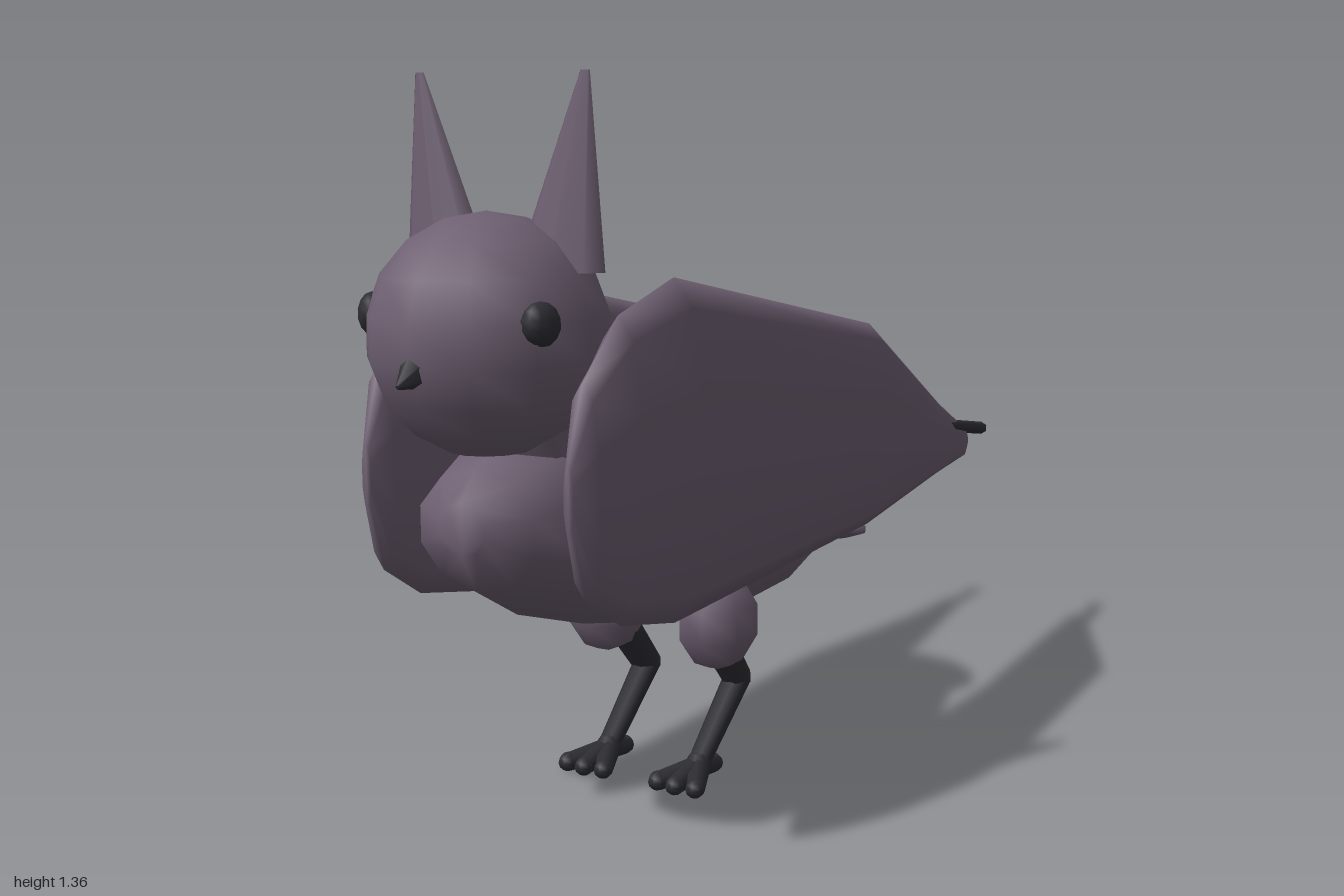
import * as THREE from 'three';

const plumage = new THREE.MeshStandardMaterial({ color: 0x6e6072 });
plumage.name = 'dusky mauve';
const dark = new THREE.MeshStandardMaterial({ color: 0x2e2d33 });
dark.name = 'charcoal';

function mesh(parent, name, geometry, material) {
  const m = new THREE.Mesh(geometry, material);
  m.name = name;
  parent.add(m);
  return m;
}

// Skin over cross-sections running from front (+z) to back: [z, bottom, top, xMin, xMax]
function loft(sections, sides, power = 1) {
  const pos = [], idx = [];
  const bend = v => Math.sign(v) * Math.abs(v) ** power;
  for (const [z, y0, y1, x0, x1] of sections) {
    for (let i = 0; i < sides; i++) {
      const a = (i / sides) * Math.PI * 2;
      pos.push((x0 + x1) / 2 + bend(Math.sin(a)) * (x1 - x0) / 2,
        (y0 + y1) / 2 - bend(Math.cos(a)) * (y1 - y0) / 2, z);
    }
  }
  const last = sections.length - 1;
  for (let s = 0; s < last; s++) {
    for (let i = 0; i < sides; i++) {
      const a = s * sides + i, b = s * sides + (i + 1) % sides;
      idx.push(a, b, a + sides, b, b + sides, a + sides);
    }
  }
  // End caps
  for (let i = 1; i < sides - 1; i++) {
    idx.push(0, i + 1, i);
    idx.push(last * sides, last * sides + i, last * sides + i + 1);
  }
  // Orient every face outwards
  for (let t = 0; t < idx.length; t += 3) [idx[t + 1], idx[t + 2]] = [idx[t + 2], idx[t + 1]];
  const g = new THREE.BufferGeometry();
  g.setAttribute('position', new THREE.Float32BufferAttribute(pos, 3));
  g.setIndex(signedVolume(pos, idx) < 0 ? idx.reverse() : idx);
  g.computeVertexNormals();
  return g;
}

function signedVolume(pos, idx) {
  const p = i => new THREE.Vector3().fromArray(pos, i * 3);
  let v = 0;
  for (let t = 0; t < idx.length; t += 3) v += p(idx[t]).dot(p(idx[t + 1]).cross(p(idx[t + 2])));
  return v;
}

function ellipsoid(parent, name, material, at, radii, w = 10, h = 7) {
  const m = mesh(parent, name, new THREE.SphereGeometry(1, w, h), material);
  m.position.set(...at);
  m.scale.set(...radii);
  return m;
}

// Tapered rod between two points
function rod(parent, name, material, from, to, r0, r1, sides = 7) {
  const a = new THREE.Vector3(...from), b = new THREE.Vector3(...to);
  const d = b.clone().sub(a);
  const m = mesh(parent, name, new THREE.CylinderGeometry(r1, r0, d.length(), sides), material);
  m.position.copy(a).add(b).multiplyScalar(0.5);
  m.quaternion.setFromUnitVectors(new THREE.Vector3(0, 1, 0), d.normalize());
  return m;
}

function addSide(bird, s, side) {
  const g = new THREE.Group();
  g.name = side + 'Side';
  bird.add(g);

  // Folded wing and its dark tip
  const wing = [
    [0.84, 0.62, 0.73, 0.20, 0.22], [0.80, 0.50, 0.86, 0.18, 0.245],
    [0.70, 0.435, 0.96, 0.165, 0.265], [0.53, 0.40, 1.01, 0.155, 0.28],
    [-0.22, 0.435, 0.86, 0.18, 0.283], [-0.70, 0.46, 0.625, 0.165, 0.202],
    [-0.87, 0.47, 0.545, 0.16, 0.188], [-0.895, 0.49, 0.525, 0.166, 0.18],
  ].map(([z, y0, y1, a, b]) => [z, y0, y1, Math.min(s * a, s * b), Math.max(s * a, s * b)]);
  mesh(g, side + 'Wing', loft(wing, 10, 0.85), plumage);
  rod(g, side + 'WingTip', dark, [s * 0.187, 0.587, -0.62], [s * 0.172, 0.522, -0.998], 0.015, 0.015, 6);

  // Ear tuft: a flattened cone leaning outwards
  const ear = new THREE.CylinderGeometry(0.1, 1, 1, 8, 1);
  const p = ear.attributes.position;
  for (let i = 0; i < p.count; i++) {
    const t = p.getY(i) + 0.5;
    p.setXYZ(i, s * (0.115 + 0.055 * t) + p.getX(i) * 0.09,
      1.03 + 0.325 * t, 0.72 + p.getZ(i) * 0.033);
  }
  ear.computeVertexNormals();
  mesh(g, side + 'EarTuft', ear, plumage);

  // Eye
  const eye = ellipsoid(g, side + 'Eye', dark, [s * 0.172, 0.957, 0.855], [0.036, 0.037, 0.024]);
  eye.rotation.y = s * 1.1;

  // Leg
  ellipsoid(g, side + 'Thigh', plumage, [s * 0.128, 0.32, 0.225], [0.076, 0.1, 0.095], 7, 5);
  rod(g, side + 'UpperLeg', dark, [s * 0.11, 0.27, 0.20], [s * 0.107, 0.17, 0.115], 0.034, 0.03);
  ellipsoid(g, side + 'Knee', dark, [s * 0.107, 0.172, 0.117], [0.031, 0.029, 0.028], 7, 5);
  rod(g, side + 'LowerLeg', dark, [s * 0.107, 0.17, 0.115], [s * 0.105, 0.035, 0.265], 0.028, 0.022);

  // Three front toes and one behind
  for (const [dx, z] of [[-0.042, 0.345], [0, 0.35], [0.042, 0.345], [0, 0.205]]) {
    rod(g, side + 'Toe', dark, [s * 0.105, 0.03, 0.26], [s * 0.105 + dx, 0.019, z], 0.023, 0.019);
    ellipsoid(g, side + 'ToeEnd', dark, [s * 0.105 + dx, 0.019, z], [0.019, 0.019, 0.021], 7, 6);
  }
  ellipsoid(g, side + 'Ankle', dark, [s * 0.105, 0.035, 0.263], [0.026, 0.026, 0.028], 7, 5);
}

export function createModel() {
  const bird = new THREE.Group();
  bird.name = 'tuftedBird';

  // Body: [z, bottom, top, half width]
  const body = [
    [0.85, 0.56, 0.65, 0.05], [0.81, 0.49, 0.70, 0.125], [0.70, 0.425, 0.75, 0.165],
    [0.50, 0.36, 0.77, 0.18], [0.30, 0.315, 0.74, 0.185], [0.10, 0.283, 0.67, 0.183],
    [-0.13, 0.295, 0.56, 0.16], [-0.22, 0.345, 0.50, 0.11], [-0.275, 0.40, 0.45, 0.04],
  ].map(([z, y0, y1, w]) => [z, y0, y1, -w, w]);
  mesh(bird, 'body', loft(body, 10), plumage);

  // Neck
  rod(bird, 'neck', plumage, [0, 0.66, 0.58], [0, 0.86, 0.68], 0.14, 0.13, 8);

  // Head
  ellipsoid(bird, 'head', plumage, [0, 0.922, 0.765], [0.205, 0.206, 0.212], 12, 9);

  // Beak: three-sided, hooked downwards
  const beak = rod(bird, 'beak', dark, [0, 0.885, 0.95], [0, 0.862, 1.0], 0.036, 0.004, 6);
  beak.scale.x = 0.8;

  // Tail: flat rounded fan
  const tail = ellipsoid(bird, 'tail', plumage, [0, 0.405, -0.27], [0.19, 0.034, 0.195], 12, 7);
  tail.rotation.x = -0.2;

  addSide(bird, 1, 'left');
  addSide(bird, -1, 'right');
  return bird;
}
